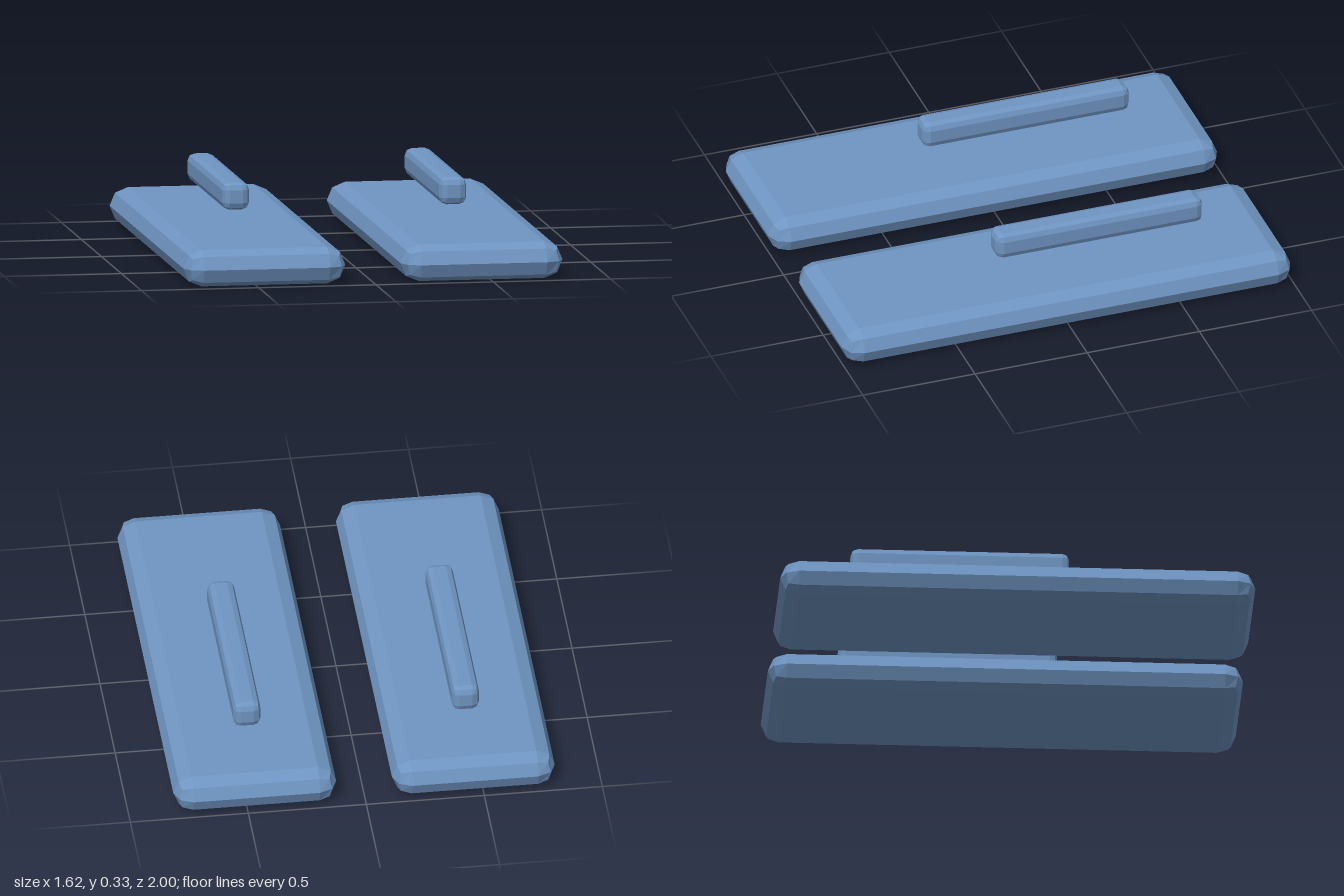
import * as THREE from 'three';

const material = new THREE.MeshStandardMaterial({ color: 0x6f95c2, flatShading: true });

// Box whose edges are rounded by two facets of 45 degrees each.
function bevelledBox(w, h, d, r) {
  const geo = new THREE.BoxGeometry(1, 1, 1, 3, 3, 3);
  const pos = geo.attributes.position;
  const core = new THREE.Vector3(w / 2 - r, h / 2 - r, d / 2 - r);
  const p = new THREE.Vector3();
  // outer grid lines lie on the rounding, inner ones bound the flat faces
  const step = (v) => (Math.abs(v) > 0.4 ? Math.sign(v) : 0);
  for (let i = 0; i < pos.count; i++) {
    p.fromBufferAttribute(pos, i);
    const dir = new THREE.Vector3(step(p.x), step(p.y), step(p.z)).normalize();
    pos.setXYZ(
      i,
      Math.sign(p.x) * core.x + dir.x * r,
      Math.sign(p.y) * core.y + dir.y * r,
      Math.sign(p.z) * core.z + dir.z * r
    );
  }
  const flat = geo.toNonIndexed();
  flat.computeVertexNormals();
  return flat;
}

export function createModel() {
  const group = new THREE.Group();
  group.name = 'pairOfSlabs';
  const slabGeo = bevelledBox(0.69, 0.155, 2, 0.0775);
  const barGeo = bevelledBox(0.115, 0.115, 0.92, 0.03);

  for (const [side, s] of [['left', 1], ['right', -1]]) {
    // wide slab on the ground
    const slab = new THREE.Mesh(slabGeo, material);
    slab.name = side + 'Slab';
    slab.position.set(s * 0.463, 0.0775, 0);

    // slim bar floating above it, set towards the back
    const bar = new THREE.Mesh(barGeo, material);
    bar.name = side + 'Bar';
    bar.position.set(s * 0.463, 0.273, -0.23);

    group.add(slab, bar);
  }
  return group;
}
